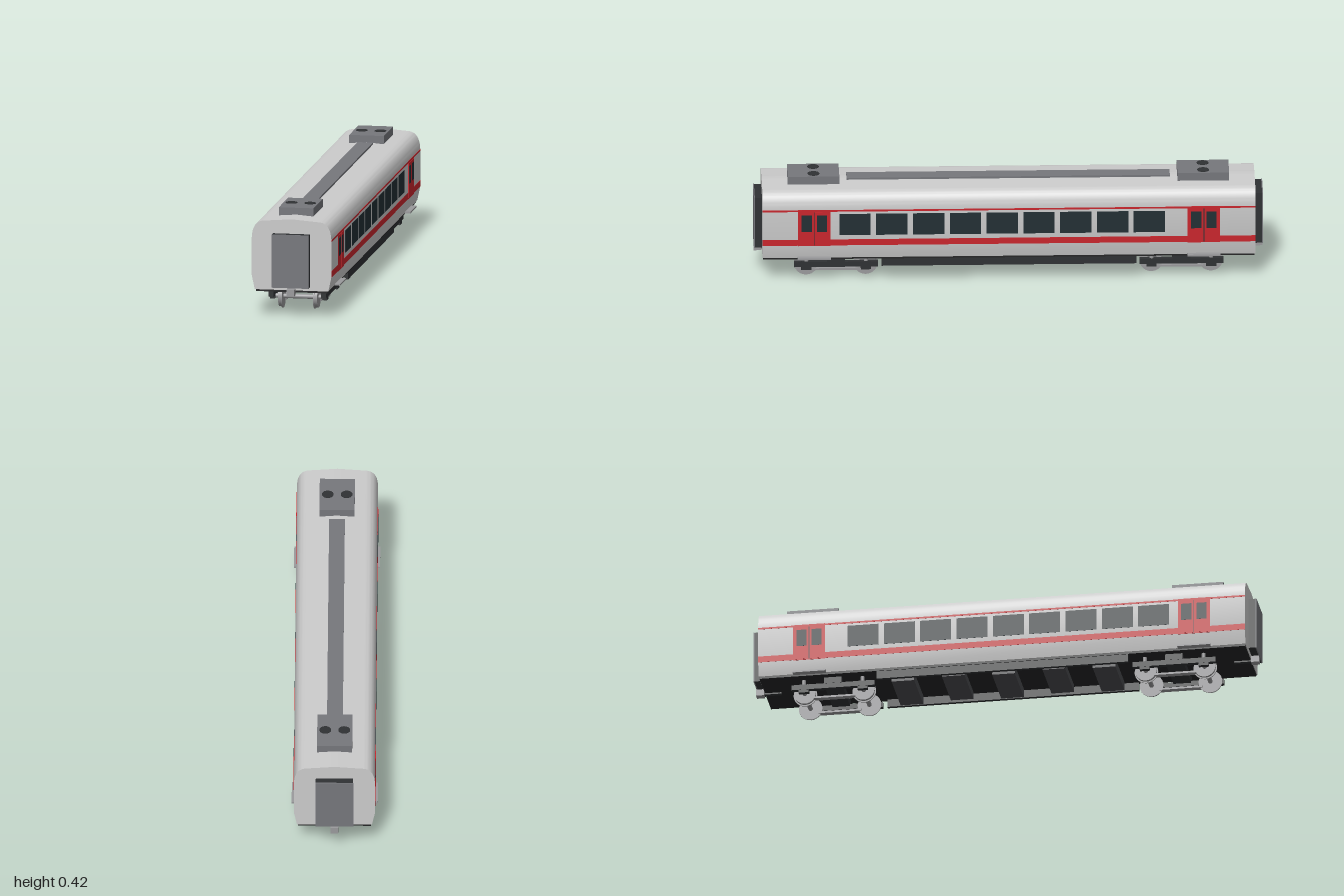
import * as THREE from 'three';
import { toCreasedNormals } from 'three/addons/utils/BufferGeometryUtils.js';

const mat = (color) => new THREE.MeshStandardMaterial({ color });
const BODY = mat(0xcccccc), RED = mat(0xc9252c), GLASS = mat(0x222e33), EQUIP = mat(0x76777c),
  DARK = mat(0x2f3133), FLOOR = mat(0x242526), STEEL = mat(0x9a9a9c), BOX = mat(0x4a4b4e);

function add(parent, name, geometry, material, x = 0, y = 0, z = 0) {
  const mesh = new THREE.Mesh(geometry, material);
  mesh.name = name;
  mesh.position.set(x, y, z);
  parent.add(mesh);
  return mesh;
}

// Box given by its extents on each axis
function box(parent, name, material, [x0, x1], [y0, y1], [z0, z1]) {
  return add(parent, name, new THREE.BoxGeometry(x1 - x0, y1 - y0, z1 - z0), material,
    (x0 + x1) / 2, (y0 + y1) / 2, (z0 + z1) / 2);
}

// Cylinder lying along x
function axleCylinder(parent, name, material, r, length, x, y, z) {
  const g = new THREE.CylinderGeometry(r, r, length, 28).rotateZ(Math.PI / 2);
  return add(parent, name, g, material, x, y, z);
}

// Carriage shell: tapered lower sides, rounded shoulders, shallow arched roof
function buildShell(parent) {
  const s = new THREE.Shape();
  s.moveTo(-0.147, 0.103);
  s.lineTo(0.147, 0.103);
  s.lineTo(0.159, 0.16);
  s.lineTo(0.159, 0.305);
  s.bezierCurveTo(0.158, 0.35, 0.143, 0.374, 0.115, 0.378);
  s.quadraticCurveTo(0.06, 0.382, 0, 0.387);
  s.quadraticCurveTo(-0.06, 0.382, -0.115, 0.378);
  s.bezierCurveTo(-0.143, 0.374, -0.158, 0.35, -0.159, 0.305);
  s.lineTo(-0.159, 0.16);
  s.closePath();
  const g = new THREE.ExtrudeGeometry(s, { depth: 1.936, bevelEnabled: false, curveSegments: 14 });
  g.translate(0, 0, -0.968);
  add(parent, 'bodyShell', toCreasedNormals(g, 0.5), BODY);
  box(parent, 'floorPan', FLOOR, [-0.143, 0.143], [0.095, 0.104], [-0.965, 0.965]);
}

// Stripes, windows, doors and steps on one side
function buildSide(parent, s) {
  const side = new THREE.Group();
  side.name = s > 0 ? 'leftSide' : 'rightSide';
  parent.add(side);
  const panel = (name, m, out, y, z) =>
    box(side, name, m, s > 0 ? [0.15, out] : [-out, -0.15], y, z);
  panel('lowerStripe', RED, 0.1598, [0.159, 0.184], [-0.9675, 0.9675]);
  panel('upperStripe', RED, 0.1598, [0.301, 0.308], [-0.9675, 0.9675]);
  for (let i = 0; i < 9; i++) {
    const z = 0.605 - i * 0.1445;
    panel('window', GLASS, 0.1602, [0.202, 0.291], [z - 0.0615, z + 0.0615]);
  }
  for (const e of [-1, 1]) {
    const c = e * 0.765;
    panel('doorFrame', RED, 0.1602, [0.157, 0.309], [c - 0.0635, c + 0.0635]);
    panel('doorGap', DARK, 0.1606, [0.16, 0.3], [c - 0.0015, c + 0.0015]);
    for (const d of [-1, 1]) {
      const z = c + d * 0.03;
      panel('doorLeaf', RED, 0.161, [0.161, 0.3], [z - 0.0275, z + 0.0275]);
      panel('doorWindow', GLASS, 0.1616, [0.217, 0.287], [z - 0.02, z + 0.02]);
    }
    const step = s > 0 ? [0.135, 0.169] : [-0.169, -0.135];
    box(side, 'doorStep', STEEL, step, [0.101, 0.108], [c - 0.065, c + 0.065]);
  }
  const skirt = s > 0 ? [0.126, 0.14] : [-0.14, -0.126];
  box(side, 'sideSkirt', DARK, skirt, [0.063, 0.1], [-0.5, 0.5]);
}

// Four-wheeled bogie centred on its own origin
function buildBogie(parent, z) {
  const bogie = new THREE.Group();
  bogie.name = 'bogie';
  bogie.position.z = z;
  parent.add(bogie);
  box(bogie, 'bolster', DARK, [-0.1, 0.1], [0.063, 0.09], [-0.035, 0.035]);
  add(bogie, 'pivot', new THREE.CylinderGeometry(0.03, 0.03, 0.02, 24), DARK, 0, 0.092, 0);
  for (const e of [-1, 1]) {
    const wz = e * 0.117;
    axleCylinder(bogie, 'axle', STEEL, 0.009, 0.2, 0, 0.047, wz);
    for (const s of [-1, 1]) {
      axleCylinder(bogie, 'wheelTread', STEEL, 0.042, 0.013, s * 0.0715, 0.047, wz);
      axleCylinder(bogie, 'wheelFlange', STEEL, 0.047, 0.004, s * 0.064, 0.047, wz);
      box(bogie, 'axleBox', DARK, [s * 0.104 - 0.009, s * 0.104 + 0.009], [0.038, 0.072], [wz - 0.02, wz + 0.02]);
      add(bogie, 'spring', new THREE.CylinderGeometry(0.008, 0.008, 0.024, 16), STEEL, s * 0.104, 0.08, wz);
    }
  }
  for (const s of [-1, 1]) {
    const span = (c, h) => [s * c - h, s * c + h];
    box(bogie, 'sideFrame', DARK, span(0.104, 0.01), [0.05, 0.071], [-0.165, 0.165]);
    box(bogie, 'airSpring', DARK, span(0.104, 0.011), [0.07, 0.096], [-0.035, 0.035]);
    box(bogie, 'brakeRod', STEEL, span(0.07, 0.012), [0.024, 0.032], [-0.085, 0.085]);
  }
}

// Gangway, coupler, roof unit and bogie at one end
function buildEnd(parent, e) {
  const end = new THREE.Group();
  end.name = e > 0 ? 'frontEnd' : 'rearEnd';
  end.rotation.y = e > 0 ? 0 : Math.PI;
  parent.add(end);
  box(end, 'gangwayBellows', DARK, [-0.0735, 0.0735], [0.118, 0.329], [0.96, 0.997]);
  box(end, 'gangwayDoor', EQUIP, [-0.074, 0.074], [0.117, 0.33], [0.996, 1]);
  box(end, 'couplerShaft', DARK, [-0.008, 0.008], [0.089, 0.104], [0.9, 0.98]);
  box(end, 'couplerHead', STEEL, [-0.015, 0.015], [0.084, 0.11], [0.968, 1]);
  box(end, 'roofUnit', EQUIP, [-0.069, 0.069], [0.37, 0.414], [0.664, 0.867]);
  for (const x of [-0.037, 0.037]) {
    add(end, 'roofFan', new THREE.CylinderGeometry(0.023, 0.023, 0.01, 28), DARK, x, 0.411, 0.765);
  }
  buildBogie(end, 0.678);
}

export function createModel() {
  const model = new THREE.Group();
  model.name = 'passengerCarriage';
  buildShell(model);
  box(model, 'roofStrip', EQUIP, [-0.031, 0.031], [0.375, 0.392], [-0.635, 0.635]);
  for (const s of [-1, 1]) {
    buildSide(model, s);
    buildEnd(model, s);
  }
  // Underfloor equipment boxes
  for (let i = -2; i <= 2; i++) {
    const z = i * 0.2, low = i % 2 ? 0.066 : 0.059;
    box(model, 'underfloorBox', BOX, [-0.112, 0.112], [low, 0.097], [z - 0.045, z + 0.045]);
  }
  return model;
}
